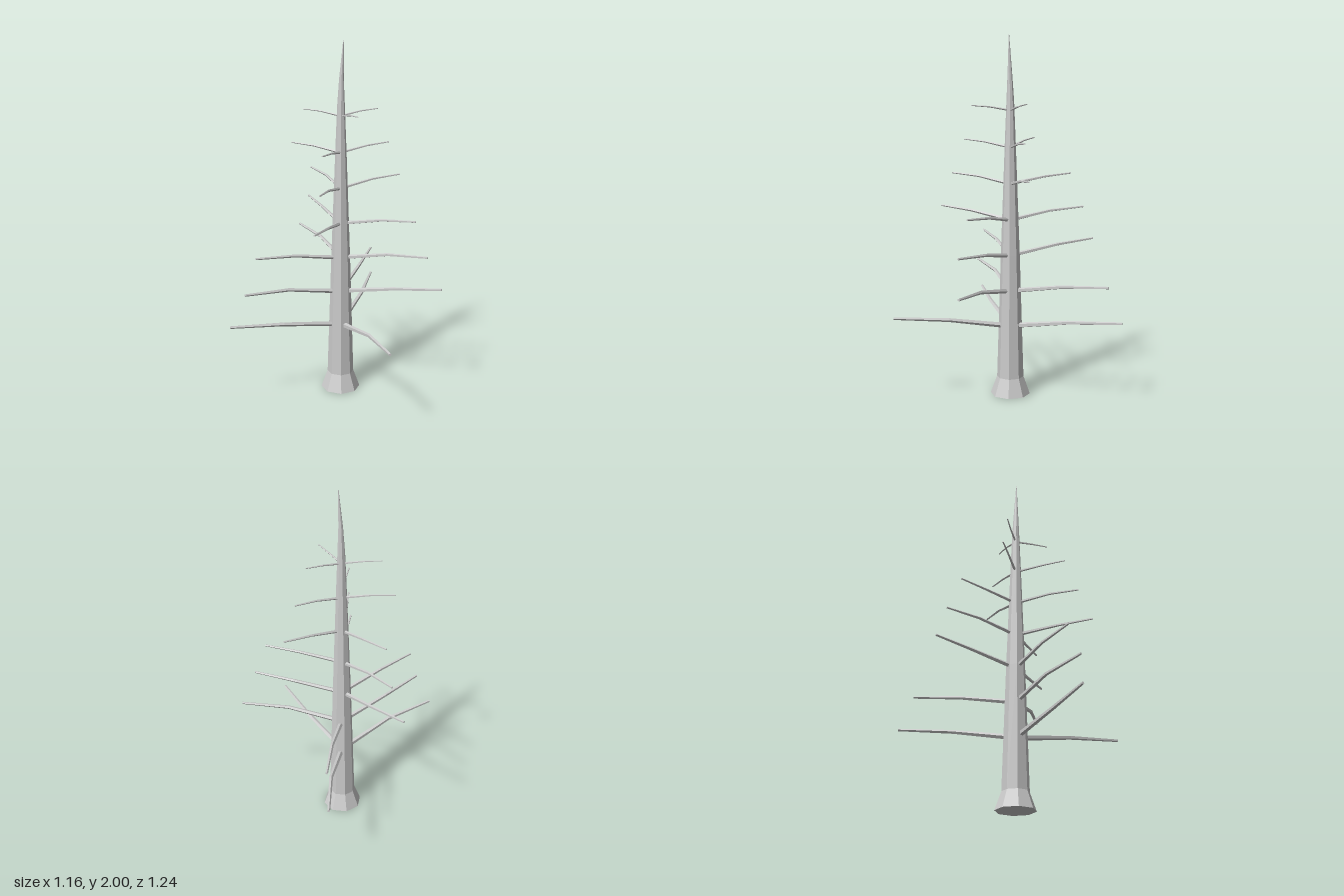
import * as THREE from 'three';

const material = new THREE.MeshStandardMaterial({ color: 0xcccccc, flatShading: true });
const UP = new THREE.Vector3(0, 1, 0);
const AXIS_X = 0.034;

// Tapered limb through stations [x, y, z, radius], capped at both ends
function loft(stations, sides) {
  const centres = stations.map(([x, y, z]) => new THREE.Vector3(x, y, z));
  const last = centres.length - 1;
  const positions = [], index = [];
  centres.forEach((c, i) => {
    const dir = centres[Math.min(i + 1, last)].clone().sub(centres[Math.max(i - 1, 0)]).normalize();
    // the trunk keeps level rings, the branches get rings across their path
    const level = dir.y > 0.9;
    const u = level ? new THREE.Vector3(0, 0, 1) : new THREE.Vector3().crossVectors(UP, dir).normalize();
    const v = level ? new THREE.Vector3(1, 0, 0) : new THREE.Vector3().crossVectors(dir, u);
    for (let j = 0; j < sides; j++) {
      const a = (j / sides) * Math.PI * 2;
      const p = c.clone().addScaledVector(u, stations[i][3] * Math.cos(a))
        .addScaledVector(v, stations[i][3] * Math.sin(a));
      positions.push(p.x, p.y, p.z);
    }
  });
  for (let i = 0; i < last; i++) {
    for (let j = 0; j < sides; j++) {
      const a = i * sides + j, b = i * sides + (j + 1) % sides;
      index.push(a, b, b + sides, a, b + sides, a + sides);
    }
  }
  for (let j = 1; j < sides - 1; j++) {
    const t = last * sides;
    index.push(0, j + 1, j, t, t + j, t + j + 1);
  }
  const geometry = new THREE.BufferGeometry();
  geometry.setAttribute('position', new THREE.Float32BufferAttribute(positions, 3));
  geometry.setIndex(index);
  geometry.computeVertexNormals();
  return geometry;
}

// Each whorl: three branches as [heading at the bend, heading at the tip], in degrees from +x towards +z
const WHORLS = [
  [[66.5, 70], [-66.5, -70.4], [155.5, 159]],
  [[24.5, 21], [-66.5, -68.7], [158, 154.7]],
  [[23, 26], [-113, -116.6], [157.5, 156.3]],
  [[23, 25], [108, 110.7], [-115, -113.4]],
  [[-22, -20.5], [112, 110], [-113, -116]],
  [[-20, -20.5], [-157, -157.5], [110, 112]],
  [[-21, -19.5], [-157, -159], [67, 69]],
];

export function createModel() {
  const tree = new THREE.Group();
  tree.name = 'bareConifer';

  // Trunk with flared foot and a slightly bent spike
  const trunk = new THREE.Mesh(loft([
    [AXIS_X, 0, 0, 0.111],
    [AXIS_X, 0.1, 0, 0.075],
    [AXIS_X, 0.8, 0, 0.053],
    [AXIS_X, 1.4, 0, 0.031],
    [AXIS_X, 1.65, 0, 0.021],
    [0.036, 1.8, 0.002, 0.0125],
    [0.046, 2, 0.006, 0.0015],
  ], 8), material);
  trunk.name = 'trunk';
  tree.add(trunk);

  // Whorls of branches, shorter and thinner towards the top
  WHORLS.forEach((whorl, level) => {
    const group = new THREE.Group();
    group.name = `branchWhorl${level + 1}`;
    const y = 0.4 + level * 0.2;
    const reach = 0.657 - level * 0.0735;
    const thick = 0.0155 - level * 0.0016;
    const at = (degrees, r, height, radius) => {
      const a = THREE.MathUtils.degToRad(degrees);
      return [AXIS_X + r * Math.cos(a), height, r * Math.sin(a), radius];
    };
    for (const [bend, tip] of whorl) {
      const branch = new THREE.Mesh(loft([
        at(bend, 0.04 - level * 0.005, y, thick),
        at(bend, reach * 0.54, y + reach * 0.085, thick * 0.74),
        at(tip, reach, y + reach * 0.12, thick * 0.5),
      ], 5), material);
      branch.name = 'branch';
      group.add(branch);
    }
    tree.add(group);
  });
  return tree;
}
